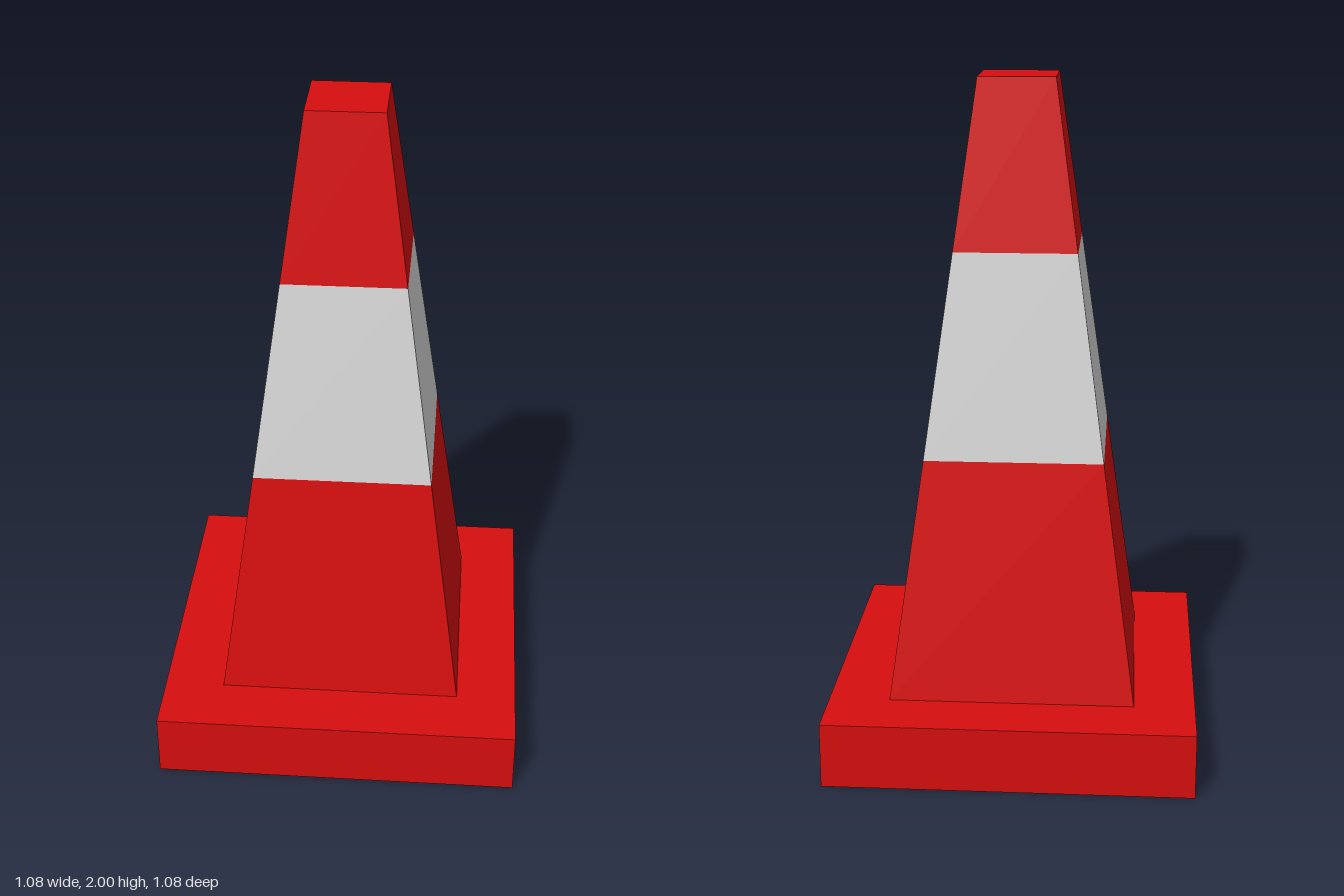
import * as THREE from 'three';

const BASE_TOP = 0.195, TOP = 2;
const BOTTOM_HALF = 0.362, TOP_HALF = 0.112;

// Half width of the tapering body at height y
const halfAt = (y) =>
  THREE.MathUtils.mapLinear(y, BASE_TOP, TOP, BOTTOM_HALF, TOP_HALF);

// Four-sided tapered section between two heights
function section(name, y0, y1, material, open) {
  const geometry = new THREE.CylinderGeometry(
    halfAt(y1) * Math.SQRT2, halfAt(y0) * Math.SQRT2, y1 - y0, 4, 1, open);
  geometry.rotateY(Math.PI / 4);
  const flat = geometry.toNonIndexed();
  flat.computeVertexNormals();
  const mesh = new THREE.Mesh(flat, material);
  mesh.name = name;
  mesh.position.y = (y0 + y1) / 2;
  return mesh;
}

export function createModel() {
  const red = new THREE.MeshStandardMaterial({ color: 0xd60e0e });
  red.name = 'red';
  const white = new THREE.MeshStandardMaterial({ color: 0xd6d6d6 });
  white.name = 'offWhite';

  const cone = new THREE.Group();
  cone.name = 'trafficCone';

  // Square foot plate
  const base = new THREE.Mesh(new THREE.BoxGeometry(1.084, BASE_TOP, 1.084), red);
  base.name = 'base';
  base.position.y = BASE_TOP / 2;

  // Tapered body with a pale band; only the tip needs a cap
  cone.add(
    base,
    section('lowerBody', BASE_TOP, 0.91, red, true),
    section('reflectiveBand', 0.91, 1.51, white, true),
    section('tip', 1.51, TOP, red, false),
  );
  return cone;
}
